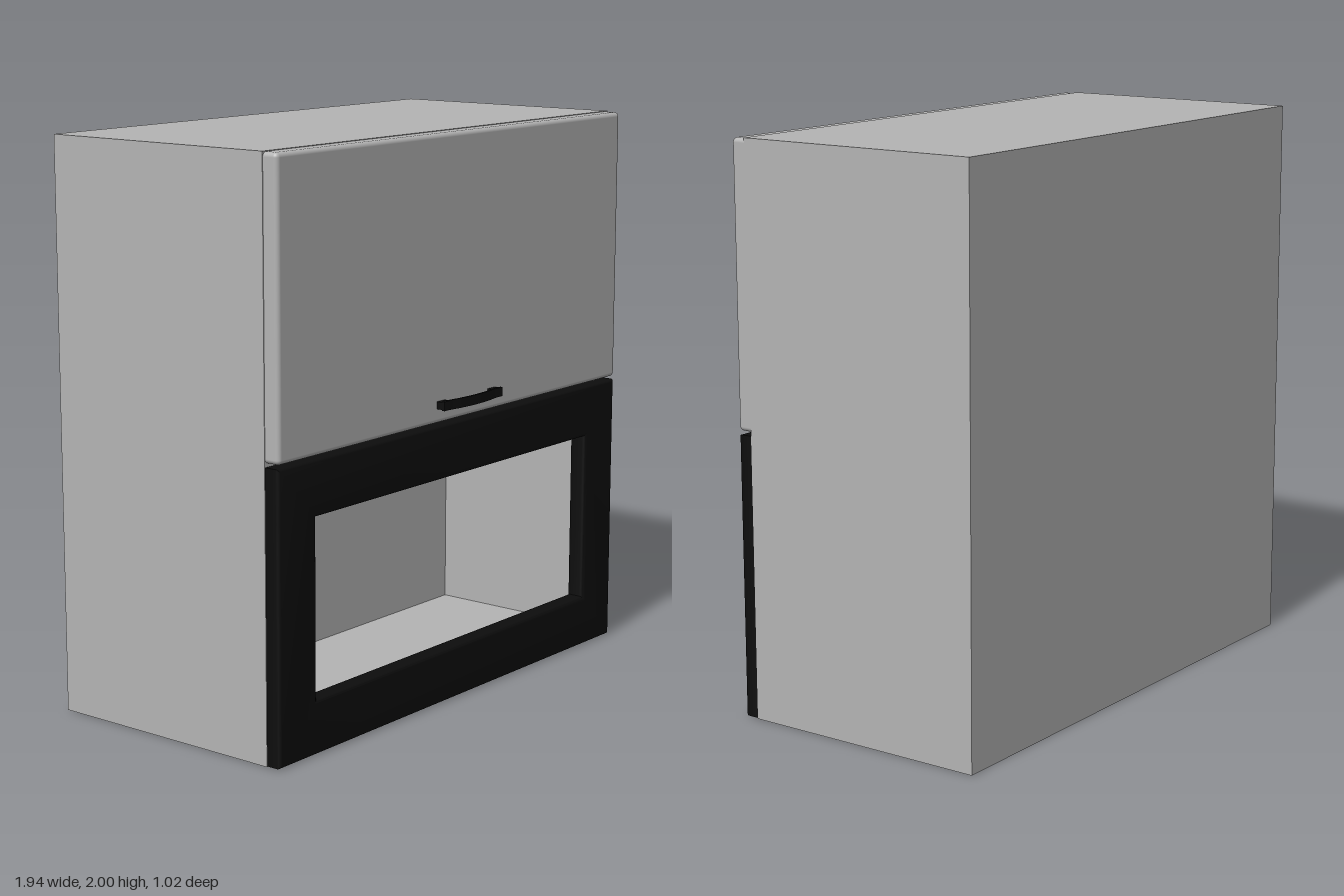
import * as THREE from 'three';
import { RoundedBoxGeometry } from 'three/addons/geometries/RoundedBoxGeometry.js';
import { toCreasedNormals } from 'three/addons/utils/BufferGeometryUtils.js';

const grey = new THREE.MeshStandardMaterial({ color: 0xb4b4b4 });
grey.name = 'greyPanel';
const black = new THREE.MeshStandardMaterial({ color: 0x0d0d0d });
black.name = 'blackTrim';

const rect = (C, x0, y0, x1, y1) => new C([[x0, y0], [x1, y0], [x1, y1], [x0, y1]].map(([x, y]) => new THREE.Vector2(x, y)));

function add(parent, name, geometry, material, x = 0, y = 0, z = 0) {
  const mesh = new THREE.Mesh(geometry, material);
  mesh.name = name;
  mesh.position.set(x, y, z);
  parent.add(mesh);
  return mesh;
}

export function createModel() {
  const model = new THREE.Group();
  model.name = 'wallCabinet';

  // Carcass with an open lower compartment
  const carcass = rect(THREE.Shape, -0.97, 0, 0.97, 2);
  carcass.holes.push(rect(THREE.Path, -0.95, 0.02, 0.95, 0.99));
  add(model, 'carcass', new THREE.ExtrudeGeometry(carcass, { depth: 0.915, bevelEnabled: false }), grey, 0, 0, -0.51);
  add(model, 'outerBack', new THREE.BoxGeometry(1.92, 0.99, 0.01), grey, 0, 0.505, -0.505);
  add(model, 'innerBack', new THREE.BoxGeometry(1.9, 0.97, 0.02), grey, 0, 0.505, -0.32);

  // Upper door with softened edges, its back set slightly into the carcass
  add(model, 'upperDoor', new RoundedBoxGeometry(1.936, 0.988, 0.07, 4, 0.016), grey, 0, 1.504, 0.427);

  // Lower door: a black frame around an unglazed opening
  const r = 0.015;
  const frame = rect(THREE.Shape, -0.968, 0.002, 0.968, 0.998);
  frame.holes.push(rect(THREE.Path, -0.78, 0.19, 0.78, 0.808));
  const frameGeometry = new THREE.ExtrudeGeometry(frame, {
    depth: 0.04, bevelThickness: r, bevelSize: r, bevelOffset: -r, bevelSegments: 4,
  });
  add(model, 'lowerDoorFrame', toCreasedNormals(frameGeometry, 0.7), black, 0, 0, 0.407);

  // Bowed handle on two posts
  const handle = new THREE.Group();
  handle.name = 'handle';
  handle.position.set(0.028, 1.074, 0.462);
  model.add(handle);
  for (const side of [-1, 1]) {
    add(handle, 'handlePost', new THREE.BoxGeometry(0.044, 0.026, 0.026), black, side * 0.146, 0, 0.012);
    add(handle, 'handlePad', new THREE.BoxGeometry(0.048, 0.032, 0.01), black, side * 0.146, 0, 0.028);
  }
  const bow = new THREE.Shape();
  bow.moveTo(-0.155, -0.026);
  bow.quadraticCurveTo(0, -0.062, 0.155, -0.026);
  bow.lineTo(0.155, -0.02);
  bow.quadraticCurveTo(0, -0.053, -0.155, -0.02);
  const bowGeometry = new THREE.ExtrudeGeometry(bow, { depth: 0.034, bevelEnabled: false, curveSegments: 20 });
  bowGeometry.rotateX(-Math.PI / 2);
  add(handle, 'handleBar', toCreasedNormals(bowGeometry, 0.5), black, 0, -0.017, 0);

  return model;
}
